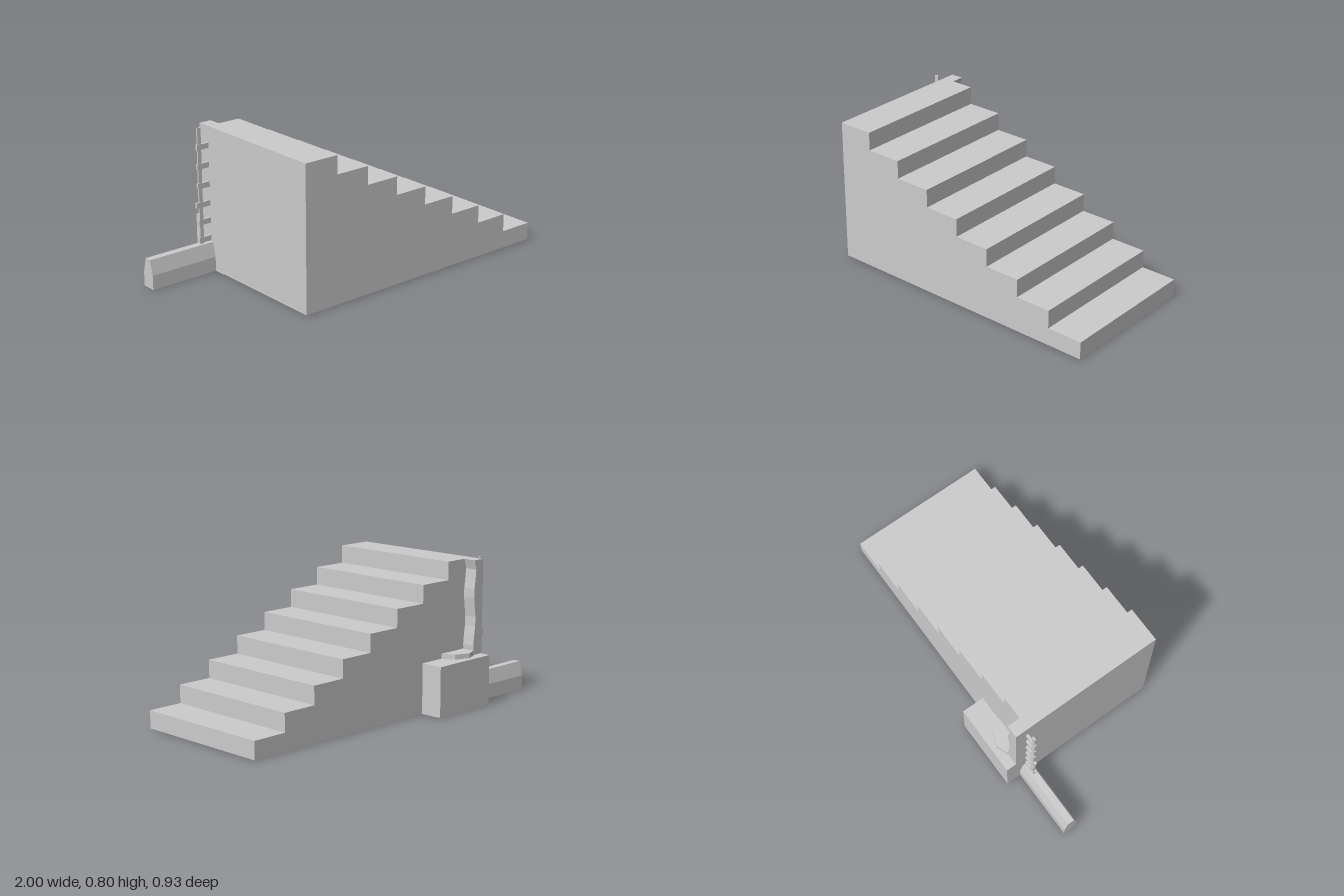
import * as THREE from 'three';

const material = new THREE.MeshStandardMaterial({ color: 0xcccccc, flatShading: true, side: THREE.DoubleSide });

function add(parent, name, geometry, x = 0, y = 0, z = 0) {
  const mesh = new THREE.Mesh(geometry, material);
  mesh.name = name;
  mesh.position.set(x, y, z);
  parent.add(mesh);
  return mesh;
}

// Box given by its lower and upper bounds
function addBox(parent, name, [x0, y0, z0], [x1, y1, z1]) {
  return add(parent, name, new THREE.BoxGeometry(x1 - x0, y1 - y0, z1 - z0),
    (x0 + x1) / 2, (y0 + y1) / 2, (z0 + z1) / 2);
}

// Extruded profile standing on y = 0 with its underside left open
function openShell(points, depth) {
  const shape = new THREE.Shape(points.map(([x, y]) => new THREE.Vector2(x, y)));
  const solid = new THREE.ExtrudeGeometry(shape, { depth, bevelEnabled: false });
  const p = solid.toNonIndexed ? solid.attributes.position : null;
  const kept = [];
  for (let i = 0; i < p.count; i += 3) {
    if (Math.max(p.getY(i), p.getY(i + 1), p.getY(i + 2)) < 1e-5) continue;
    for (let k = i; k < i + 3; k++) kept.push(p.getX(k), p.getY(k), p.getZ(k));
  }
  const geometry = new THREE.BufferGeometry();
  geometry.setAttribute('position', new THREE.Float32BufferAttribute(kept, 3));
  geometry.computeVertexNormals();
  return geometry;
}

export function createModel() {
  const model = new THREE.Group();
  model.name = 'staircase';
  const back = -0.337, front = 0.464, wall = -0.6, base = 0.003;

  // Hollow flight of eight steps
  const profile = [[wall, 0]];
  for (let i = 0; i < 8; i++) {
    const y = 0.8 - i * 0.1 - base;
    profile.push([wall + i * 0.2, y], [wall + (i + 1) * 0.2, y]);
  }
  profile.push([1, 0]);
  add(model, 'steps', openShell(profile, front - back), 0, base, back);

  // Low block closing the tall half of the underside
  addBox(model, 'baseBlock', [wall + 0.002, base, back + 0.002], [0.2, 0.1, front - 0.002]);
  addBox(model, 'footPlate', [wall, 0, -0.44], [-0.2, base, -0.23]);

  // Hollow bin against the back wall
  const bin = [[wall, 0], [wall, 0.275], [-0.2, 0.275], [-0.2, 0]];
  add(model, 'bin', openShell(bin, 0.465 + back), 0, base, -0.465);

  // Faceted slab lying on the bin
  const slab = new THREE.Shape([[-0.53, 0.337], [-0.35, 0.337], [-0.385, 0.405], [-0.465, 0.437], [-0.53, 0.412]]
    .map(([x, y]) => new THREE.Vector2(x, y)));
  const slabGeometry = new THREE.ExtrudeGeometry(slab, { depth: 0.027, bevelEnabled: false });
  slabGeometry.rotateX(-Math.PI / 2);
  add(model, 'slab', slabGeometry, 0, 0.278, 0);

  // Corner post with one uneven side
  const postGeometry = new THREE.BoxGeometry(0.07, 0.52, 0.072, 1, 10, 1);
  const p = postGeometry.attributes.position;
  for (let i = 0; i < p.count; i++) {
    if (p.getX(i) > 0 && p.getY(i) < 0.25) p.setX(i, 0.028 + 0.007 * Math.sin(p.getY(i) * 22));
  }
  postGeometry.computeVertexNormals();
  add(model, 'cornerPost', postGeometry, -0.565, 0.54, -0.373);

  // Flat ladder standing at the corner
  const ladder = new THREE.Group();
  ladder.name = 'ladder';
  addBox(ladder, 'ladderRail', [-0.668, 0.155, -0.345], [-0.646, 0.8, -0.336]);
  [0.18, 0.28, 0.377, 0.482, 0.59, 0.695].forEach((y, i) => {
    addBox(ladder, 'rung', [i === 2 ? -0.685 : -0.674, y - 0.015, -0.347], [wall, y + 0.015, -0.334]);
  });
  model.add(ladder);

  // Hollow beam with chamfered shoulders
  const beam = openShell([[-0.04, 0], [-0.04, 0.08], [-0.02, 0.16], [0.02, 0.16], [0.04, 0.08], [0.04, 0]], 0.4);
  beam.rotateY(Math.PI / 2);
  add(model, 'beam', beam, -1, 0, -0.34);

  return model;
}
